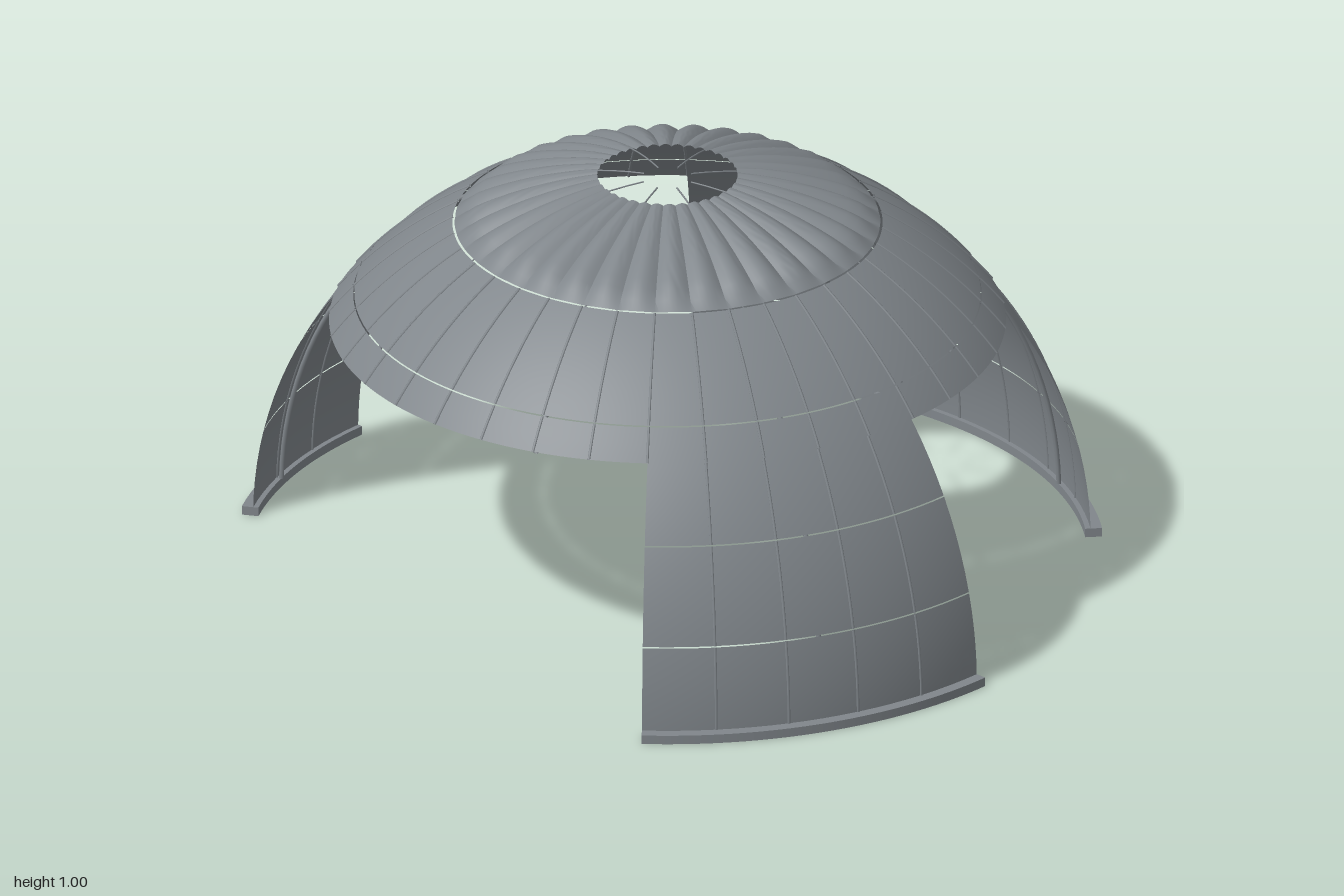
import * as THREE from 'three';
import { ParametricGeometry } from 'three/addons/geometries/ParametricGeometry.js';
import { toCreasedNormals } from 'three/addons/utils/BufferGeometryUtils.js';

const rad = THREE.MathUtils.degToRad;
const shellGrey = new THREE.MeshStandardMaterial({ color: 0x80868b, side: THREE.DoubleSide });
shellGrey.name = 'shellGrey';

// Spherical patch between two azimuths (from +x towards +z) and two latitudes, in degrees
function patch(radius, a0, a1, lat0, lat1) {
  const cols = Math.max(1, Math.round((a1 - a0) / 2.5));
  const rows = Math.max(1, Math.round((lat1 - lat0) / 2.5));
  return new THREE.SphereGeometry(radius, cols, rows,
    rad(180 - a1), rad(a1 - a0), rad(90 - lat1), rad(lat1 - lat0));
}

// Slender cord along a meridian between two latitudes
function cord(radius, thickness, azimuth, lat0, lat1) {
  const segments = Math.max(4, Math.round((lat1 - lat0) / 2.5));
  return new THREE.TorusGeometry(radius, thickness, 6, segments, rad(lat1 - lat0))
    .rotateZ(rad(lat0)).rotateY(-rad(azimuth));
}

function add(parent, name, geometry) {
  const mesh = new THREE.Mesh(geometry, shellGrey);
  mesh.name = name;
  parent.add(mesh);
}

// Bands of shell with fine slits between them and a cord every ten degrees
function panelledShell(name, radius, a0, a1, lats) {
  const group = new THREE.Group();
  group.name = name;
  const firstSeam = a1 - a0 === 360 ? a0 : a0 + 10;
  for (let i = 0; i < lats.length - 1; i++) {
    const lo = lats[i] + 0.1, hi = lats[i + 1] - 0.1;
    add(group, 'panelBand', patch(radius, a0, a1, lo, hi));
    for (let a = firstSeam; a < a1; a += 10) {
      add(group, 'seamCord', cord(radius, 0.0035, a, lo, hi));
    }
  }
  return group;
}

// Flat curved footing under a wall
function footing(a0, a1) {
  const shape = new THREE.Shape();
  shape.absarc(0, 0, 1.03, rad(a0), rad(a1), false);
  shape.absarc(0, 0, 0.99, rad(a1), rad(a0), true);
  shape.closePath();
  const geo = new THREE.ExtrudeGeometry(shape, { depth: 0.022, bevelEnabled: false, curveSegments: 32 });
  return geo.rotateX(Math.PI / 2).translate(0, 0.022, 0);
}

export function createModel() {
  const model = new THREE.Group();
  model.name = 'openDome';
  const dome = new THREE.Group();
  dome.name = 'dome';
  dome.position.set(0.03, 0, 0.03);
  model.add(dome);

  // Three curved walls: wall start, wall end, footing start, footing end
  const walls = [
    ['frontLeftWall', 20, 70, 20, 70],
    ['rightWall', 170, 200, 170, 200],
    ['backWall', 250, 330, 255, 330],
  ];
  for (const [name, a0, a1, f0, f1] of walls) {
    const wall = panelledShell(name, 1.003, a0, a1, [0.3, 13, 26.7, 43]);
    add(wall, 'footing', footing(f0, f1));
    dome.add(wall);
  }

  // Overlapping roof ring
  dome.add(panelledShell('roofRing', 1.01, 0, 360, [37.8, 43, 60]));

  // Fluted cap around the open eye, flutes flattening towards the rim
  const flutes = 36;
  const capGeo = new ParametricGeometry((u, v, target) => {
    const a = -u * Math.PI * 2;
    const lat = rad(60.2 + v * 20.4);
    const depth = 0.036 * Math.cos(lat) * Math.min(1, 0.1 + v * 5);
    const r = 1.007 + depth * Math.abs(Math.sin(a * flutes / 2));
    target.set(r * Math.cos(lat) * Math.cos(a), r * Math.sin(lat), r * Math.cos(lat) * Math.sin(a));
  }, flutes * 8, 12);
  add(dome, 'flutedCap', toCreasedNormals(capGeo, 0.6));

  // Eight inner ribs reaching into the eye; those on a wall run to the ground
  for (let a = 0; a < 360; a += 45) {
    const onWall = walls.some(([, a0, a1]) => a > a0 && a < a1);
    const start = onWall ? 1.3 : 38;
    add(dome, 'innerRib', cord(0.991, 0.006, a, start, 60));
    add(dome, 'ribTip', cord(0.991, 0.002, a, 60, 86.5));
  }
  return model;
}
